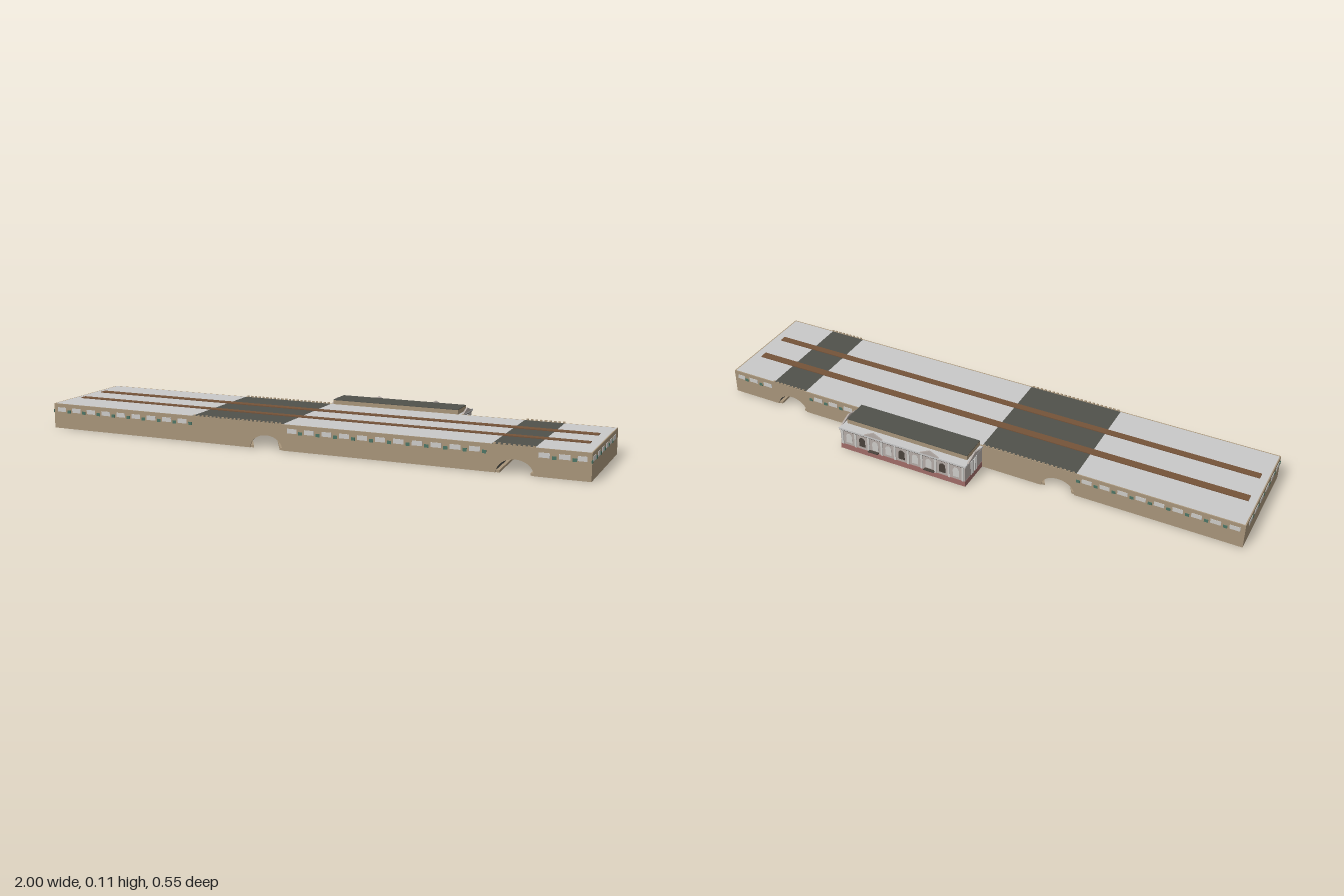
import * as THREE from 'three';

const mat = (name, color, side = THREE.FrontSide) => {
  const m = new THREE.MeshStandardMaterial({ color, side });
  m.name = name;
  return m;
};

export function createModel() {
  const concrete = mat('concrete', 0xc8c8c8);
  const tan = mat('tan stone', 0xa8957a);
  const dark = mat('dark deck', 0x50514b, THREE.DoubleSide);
  const brown = mat('brown track', 0x755339);
  const glass = mat('pale window', 0xcccbc8);
  const green = mat('green panel', 0x4c7565);
  const wall = mat('hall wall', 0xb4aba6);
  const red = mat('red base', 0xa06c68);
  const shade = mat('dark trim', 0x4a433c);

  const root = new THREE.Group();
  root.name = 'viaductStation';
  const add = (name, geo, material, parent = root) => {
    const m = new THREE.Mesh(geo, material);
    m.name = name;
    parent.add(m);
    return m;
  };
  // box given by its limits on each axis
  const box = (name, x0, x1, y0, y1, z0, z1, material, parent) => {
    const g = new THREE.BoxGeometry(x1 - x0, y1 - y0, z1 - z0);
    g.translate((x0 + x1) / 2, (y0 + y1) / 2, (z0 + z1) / 2);
    return add(name, g, material, parent);
  };

  const TOP = 0.092, BACK = -0.135, FRONT = 0.275, T = 0.004;
  const HW = 0.062, ARCH = 0.048;
  const tunnels = [{ front: -0.118, back: -0.345 }, { front: 0.758, back: 0.744 }];
  const blocks = [[-1, -0.41], [-0.055, 0.68], [0.82, 1]];
  const gaps = [[-0.41, -0.055], [0.68, 0.82]];

  // solid blocks and the dark decks bridging the gaps
  blocks.forEach(([a, b]) => box('concreteBlock', Math.max(a, -1 + T), Math.min(b, 1 - T), 0, TOP, BACK + T, FRONT - T, concrete));
  gaps.forEach(([a, b]) => box('bridgeDeck', a, b, TOP - 0.008, TOP, BACK + T, FRONT - T, dark));

  // long facades with arched openings
  const facade = (name, key, z) => {
    const s = new THREE.Shape();
    s.moveTo(-1, 0);
    tunnels.forEach((t) => {
      for (let i = 0; i <= 20; i++) {
        const a = Math.PI * (1 - i / 20);
        s.lineTo(t[key] + HW * Math.cos(a), ARCH * Math.sin(a));
      }
    });
    s.lineTo(1, 0);
    s.lineTo(1, TOP);
    s.lineTo(-1, TOP);
    const g = new THREE.ExtrudeGeometry(s, { depth: T, bevelEnabled: false });
    g.translate(0, 0, z);
    add(name, g, tan);
  };
  facade('frontFacade', 'front', FRONT - T);
  facade('backFacade', 'back', BACK);
  [-1, 1 - T].forEach((x) => box('endWall', x, x + T, 0, TOP, BACK + T, FRONT - T, tan));

  // skewed vaults running from the front arch to the back arch, with kerbs
  tunnels.forEach((t) => {
    const N = 20, pos = [], idx = [];
    for (let i = 0; i <= N; i++) {
      const a = Math.PI * i / N, dx = HW * Math.cos(a), y = ARCH * Math.sin(a);
      pos.push(t.front + dx, y, FRONT - T, t.back + dx, y, BACK + T);
      if (i < N) idx.push(2 * i, 2 * i + 1, 2 * i + 2, 2 * i + 1, 2 * i + 3, 2 * i + 2);
    }
    const g = new THREE.BufferGeometry();
    g.setAttribute('position', new THREE.Float32BufferAttribute(pos, 3));
    g.setIndex(idx);
    g.computeVertexNormals();
    add('tunnelVault', g, dark);
    [-1, 1].forEach((side) => {
      const c = side * (HW - 0.006);
      const k = new THREE.BoxGeometry(0.012, 0.008, FRONT - BACK - 2 * T);
      k.translate(0, 0.004, (FRONT + BACK) / 2);
      const p = k.attributes.position;
      for (let i = 0; i < p.count; i++) {
        const f = p.getZ(i) > 0.05 ? t.front : t.back;
        p.setX(i, p.getX(i) + f + c);
      }
      k.computeVertexNormals();
      add('tunnelKerb', k, tan);
    });
  });

  // window bands with green panels between the panes
  const P = 0.0015;
  const longRow = (start, count, z, skip) => {
    for (let i = 0; i < count; i++) {
      const x = start + i * 0.0645;
      if (skip && skip(x)) continue;
      box('window', x - 0.018, x + 0.018, 0.0625, 0.0785, z - P, z + P, glass);
      box('greenPanel', x + 0.025, x + 0.039, 0.059, 0.07, z - P, z + P, green);
    }
  };
  const inHall = (x) => x > -0.09 && x < 0.48;
  [[FRONT, null], [BACK, inHall]].forEach(([z, skip]) => {
    longRow(-0.966, 9, z, skip);
    longRow(-0.02, 11, z, skip);
    longRow(0.85, 2, z, skip);
    box('window', 0.955, 0.985, 0.0625, 0.0785, z - P, z + P, glass);
  });
  [-1, 1].forEach((x) => {
    for (let i = 0; i < 6; i++) {
      const z = 0.241 - i * 0.0632;
      box('endWindow', x - P, x + P, 0.0625, 0.0785, z - 0.018, z + 0.018, glass);
      box('endGreenPanel', x - P, x + P, 0.059, 0.07, z + 0.023, z + 0.037, green);
    }
  });

  // low toothed parapets over the bridges
  gaps.forEach(([a, b]) => {
    for (let x = a + 0.006; x < b - 0.005; x += 0.016) {
      [FRONT - T, BACK].forEach((z) => box('parapetTooth', x, x + 0.008, TOP, 0.097, z, z + T, tan));
    }
  });

  // two raised tracks
  [[-0.012, 0.018], [0.121, 0.147]].forEach(([a, b]) => box('track', -0.97, 0.965, TOP, 0.095, a, b, brown));

  // entrance hall behind the main block
  const hall = new THREE.Group();
  hall.name = 'entranceHall';
  root.add(hall);
  const X0 = -0.053, X1 = 0.447, Z = -0.262;
  box('hallBase', X0 - 0.001, X1 + 0.001, 0, 0.022, Z - 0.001, BACK, red, hall);
  box('hallWalls', X0, X1, 0.022, 0.08, Z, BACK, wall, hall);
  box('hallCornice', X0 - 0.004, X1 + 0.004, 0.083, 0.09, Z - 0.004, BACK, concrete, hall);
  box('corniceShadow', X0 - 0.002, X1 + 0.002, 0.08, 0.083, Z - 0.002, BACK, shade, hall);
  box('hallUpper', -0.045, 0.437, 0.09, 0.107, -0.23, -0.132, tan, hall);
  box('hallRoof', -0.045, 0.437, 0.107, 0.109, -0.23, -0.132, dark, hall);

  // triangular gable, extruded along z and optionally turned to face the ends
  const pediment = (width, y0, y1, depth) => {
    const s = new THREE.Shape();
    s.moveTo(-width / 2, y0);
    s.lineTo(width / 2, y0);
    s.lineTo(0, y1);
    return new THREE.ExtrudeGeometry(s, { depth, bevelEnabled: false });
  };
  [X0 - 0.006, X1].forEach((x) => {
    const g = pediment(0.1, 0.09, 0.106, 0.006);
    g.rotateY(Math.PI / 2);
    g.translate(x, 0, -0.198);
    add('endPediment', g, wall, hall);
  });
  [0.085, 0.31].forEach((x) => {
    const g = pediment(0.075, 0.09, 0.109, 0.006);
    g.translate(x, 0, Z - 0.004);
    add('backPediment', g, wall, hall);
    box('doorCanopy', x - 0.02, x + 0.02, 0.026, 0.029, Z - 0.012, Z, shade, hall);
  });

  // pilasters on the end walls and along the back
  [-0.179, -0.19, -0.204, -0.216].forEach((z) => {
    [X0, X1].forEach((x) => box('endPilaster', x - 0.003, x + 0.003, 0.022, 0.078, z - 0.003, z + 0.003, glass, hall));
  });
  for (let i = 0; i <= 9; i++) {
    const x = X0 + 0.008 + i * (X1 - X0 - 0.016) / 9;
    box('backPilaster', x - 0.004, x + 0.004, 0.022, 0.08, Z - 0.003, Z, glass, hall);
  }

  // arched windows between the back pilasters
  for (let i = 0; i < 9; i++) {
    const x = X0 + 0.008 + (i + 0.5) * (X1 - X0 - 0.016) / 9;
    const s = new THREE.Shape();
    s.moveTo(-0.012, 0.032);
    s.lineTo(0.012, 0.032);
    s.lineTo(0.012, 0.058);
    s.absarc(0, 0.058, 0.012, 0, Math.PI, false);
    const g = new THREE.ExtrudeGeometry(s, { depth: 0.001, bevelEnabled: false, curveSegments: 10 });
    g.translate(x, 0, Z - 0.001);
    add('archedWindow', g, i % 3 === 1 ? shade : glass, hall);
  }
  return root;
}
